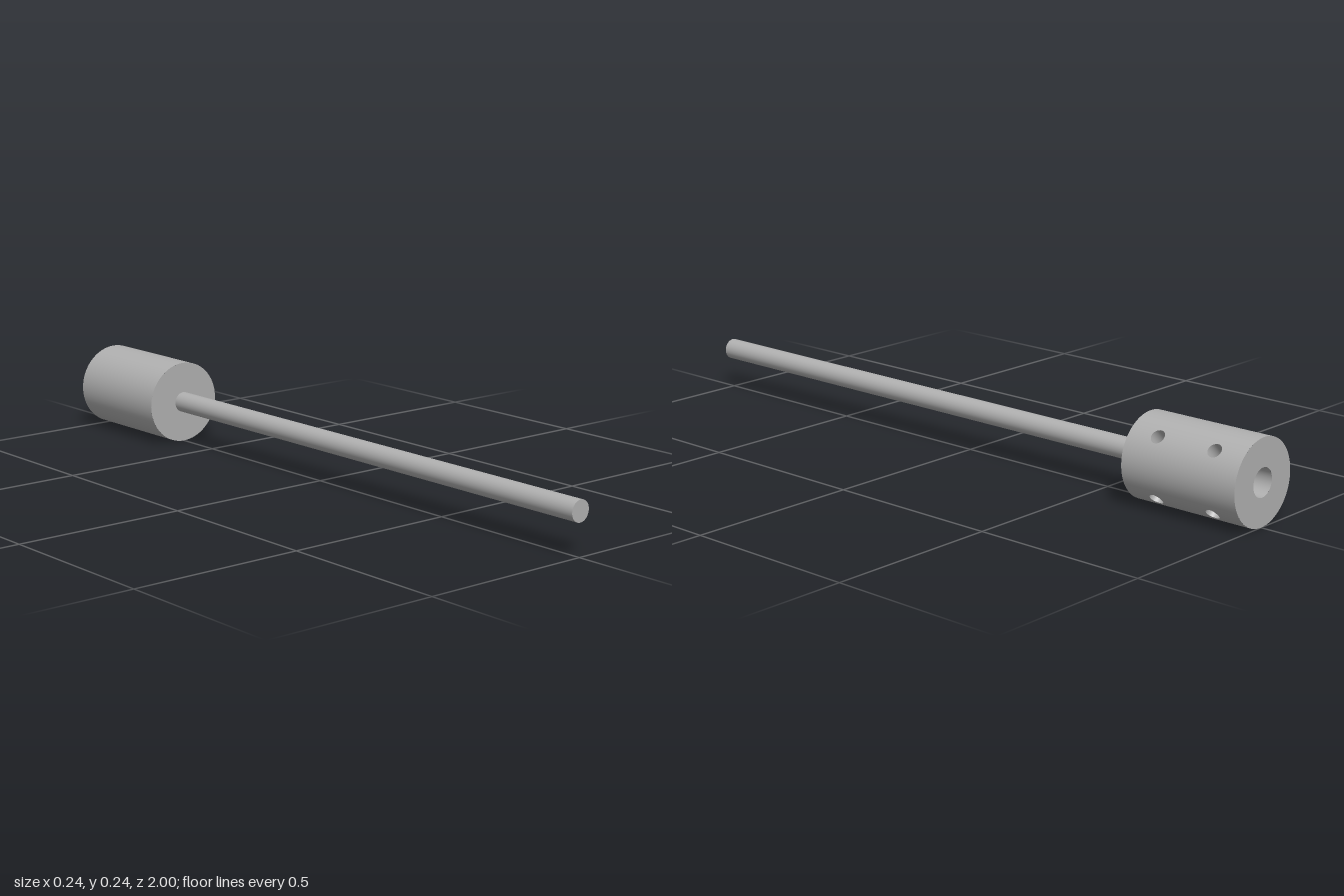
import * as THREE from 'three';
import { ParametricGeometry } from 'three/addons/geometries/ParametricGeometry.js';

const R = 0.12;          // collar radius
const BORE = 0.04;       // rear bore radius
const ROD = 0.03;        // rod radius
const HOLE = 0.02;       // set screw hole radius
const BACK = -1, MID = -0.82, FRONT = -0.64;
const HALF = (MID - BACK) / 2;
const ANGLES = [Math.PI / 4, -Math.PI / 4];
const clamp = (v) => Math.max(-1, Math.min(1, v));

export function createModel() {
  const steel = new THREE.MeshStandardMaterial({ color: 0xb0b0b0 });
  steel.name = 'steel';
  const model = new THREE.Group();
  model.name = 'rodWithCollar';
  const collar = new THREE.Group();
  collar.name = 'collar';
  model.add(collar);
  model.position.y = R;

  const add = (parent, name, geometry) => {
    const mesh = new THREE.Mesh(geometry, steel);
    mesh.name = name;
    parent.add(mesh);
    return mesh;
  };

  // Plain stretch of cylinder wall; inward flips its facing
  const arc = (r, from, to, z0, z1, segments, inward) =>
    new ParametricGeometry((u, v, p) => {
      const t = THREE.MathUtils.lerp(from, to, inward ? 1 - u : u);
      p.set(r * Math.cos(t), r * Math.sin(t), THREE.MathUtils.lerp(z0, z1, v));
    }, segments, 1);

  // Curved rectangular wall panel with a round hole in its middle
  const holedPanel = (r, angle, halfAngle, zc, inward) =>
    new ParametricGeometry((u, v, p) => {
      const a = (inward ? -1 : 1) * v * Math.PI * 2;
      const c = Math.cos(a), s = Math.sin(a);
      const t = angle + THREE.MathUtils.lerp(Math.asin(HOLE * c / r), clamp(c * Math.SQRT2) * halfAngle, u);
      const z = zc + THREE.MathUtils.lerp(HOLE * s, clamp(s * Math.SQRT2) * HALF, u);
      p.set(r * Math.cos(t), r * Math.sin(t), z);
    }, 5, 32);

  // Lining of a radial hole, trimmed to the cylinders at both ends
  const holeLining = (inner, angle, zc) =>
    new ParametricGeometry((u, v, p) => {
      const a = v * Math.PI * 2, s = HOLE * Math.cos(a);
      const d = THREE.MathUtils.lerp(Math.sqrt(inner * inner - s * s), Math.sqrt(R * R - s * s), u);
      p.set(
        d * Math.cos(angle) - s * Math.sin(angle),
        d * Math.sin(angle) + s * Math.cos(angle),
        zc + HOLE * Math.sin(a)
      );
    }, 1, 32);

  // Outer wall: two arcs and four holed panels
  const w = 0.3, q = Math.PI / 4;
  add(collar, 'outerWall', arc(R, q + w, 2 * Math.PI - q - w, BACK, FRONT, 48));
  add(collar, 'outerWallBetweenHoles', arc(R, -q + w, q - w, BACK, FRONT, 10));
  for (const angle of ANGLES) {
    for (const zc of [BACK + HALF, MID + HALF]) {
      add(collar, 'screwHolePanel', holedPanel(R, angle, w, zc));
      add(collar, 'screwHole', holeLining(zc < MID ? BORE : ROD, angle, zc));
    }
    add(collar, 'borePanel', holedPanel(BORE, angle, q, BACK + HALF, true));
  }
  add(collar, 'boreWall', arc(BORE, Math.PI / 2, Math.PI * 1.5, BACK, MID, 20, true));

  // End faces and the step at the bottom of the bore
  add(collar, 'frontFace', new THREE.RingGeometry(ROD, R, 64)).position.z = FRONT;
  for (const [name, inner, outer, z] of [['backFace', BORE, R, BACK], ['boreStep', ROD, BORE, MID]]) {
    const face = add(collar, name, new THREE.RingGeometry(inner, outer, 64));
    face.rotation.y = Math.PI;
    face.position.z = z;
  }

  // Long rod seated in the front of the collar
  const rod = add(model, 'rod', new THREE.CylinderGeometry(ROD, ROD, 1 - MID, 32));
  rod.rotation.x = Math.PI / 2;
  rod.position.z = (1 + MID) / 2;

  const root = new THREE.Group();
  root.name = 'model';
  root.add(model);
  return root;
}
